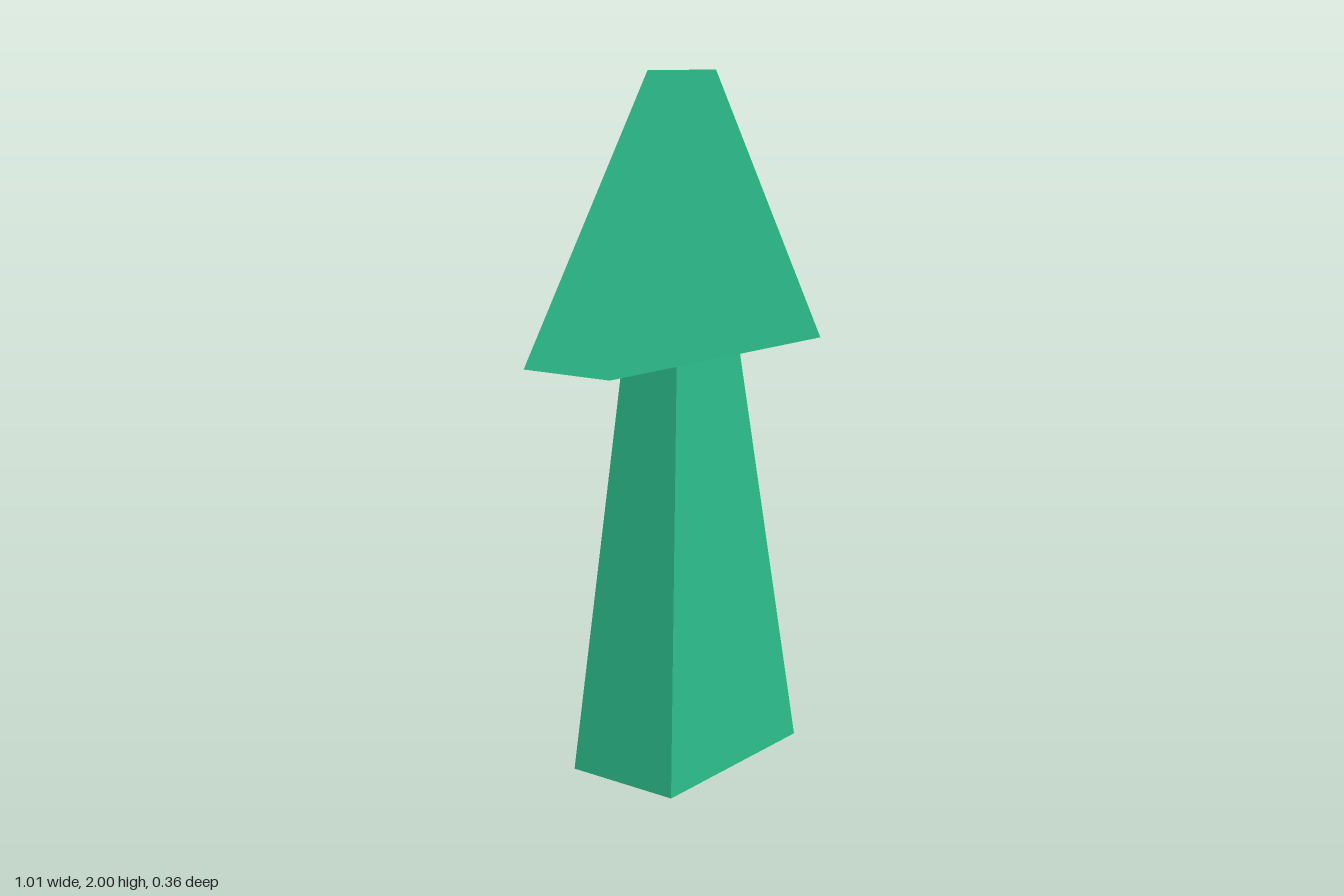
import * as THREE from 'three';

// Box whose bottom and top rectangles are set separately: { y, halfWidth, back, front }
function taperedBlock(name, bottom, top, material) {
  const geometry = new THREE.BoxGeometry(1, 1, 1);
  const pos = geometry.attributes.position;
  for (let i = 0; i < pos.count; i++) {
    const end = pos.getY(i) > 0 ? top : bottom;
    pos.setXYZ(
      i,
      Math.sign(pos.getX(i)) * end.halfWidth,
      end.y,
      pos.getZ(i) > 0 ? end.front : end.back
    );
  }
  geometry.computeVertexNormals();
  const mesh = new THREE.Mesh(geometry, material);
  mesh.name = name;
  return mesh;
}

export function createModel() {
  const group = new THREE.Group();
  group.name = 'upArrow';
  const green = new THREE.MeshStandardMaterial({ color: 0x2dbd8c, flatShading: true });

  // Shaft, narrowing upwards
  group.add(taperedBlock(
    'shaft',
    { y: 0, halfWidth: 0.31, back: -0.178, front: 0.178 },
    { y: 1.205, halfWidth: 0.15, back: -0.115, front: 0.077 },
    green
  ));

  // Triangular head, closing to a ridge at the top
  group.add(taperedBlock(
    'arrowHead',
    { y: 1.205, halfWidth: 0.503, back: -0.172, front: 0.129 },
    { y: 2, halfWidth: 0, back: -0.141, front: 0.099 },
    green
  ));

  return group;
}
